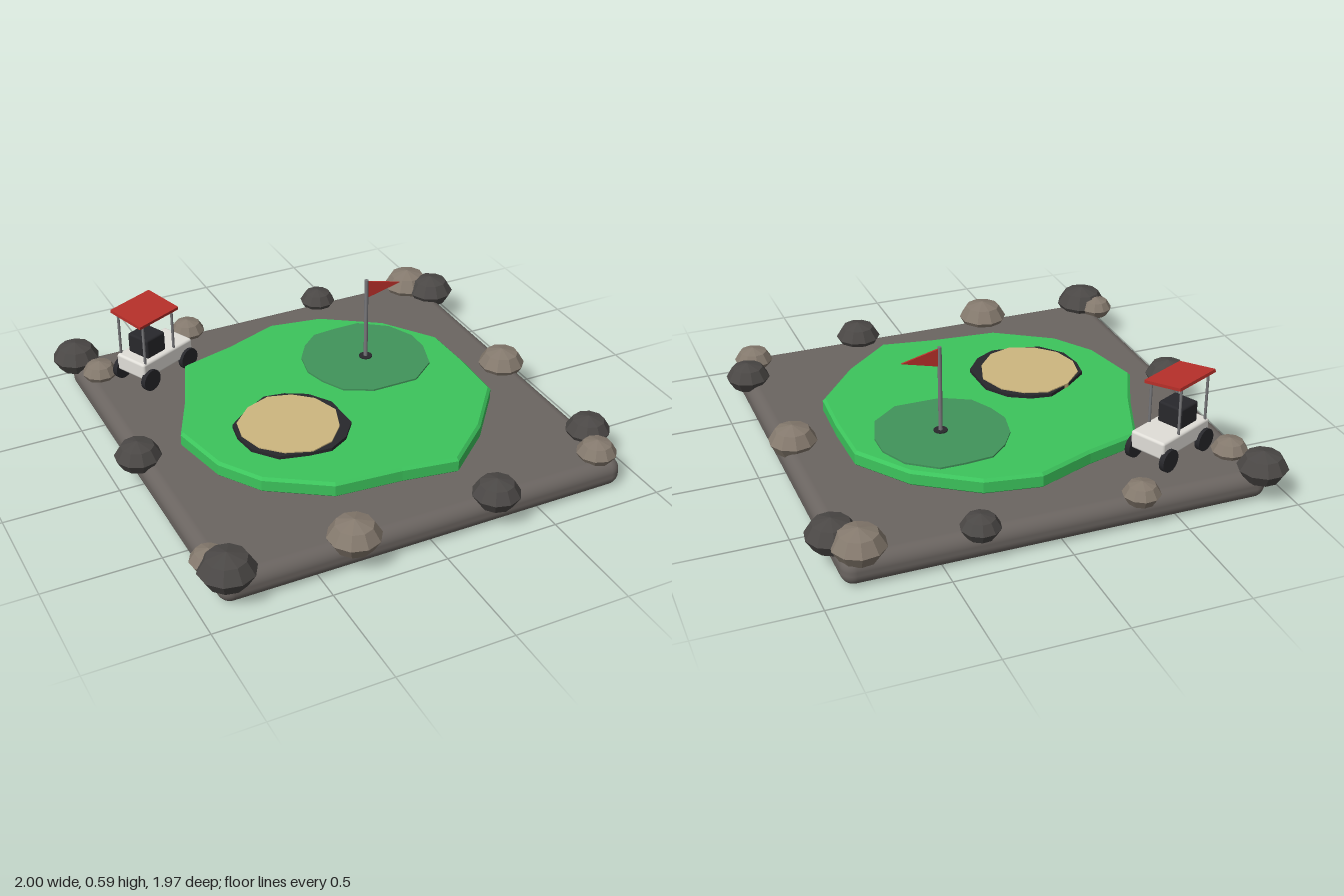
import * as THREE from 'three';
import { RoundedBoxGeometry } from 'three/addons/geometries/RoundedBoxGeometry.js';

const mat = (color, flat = false) => {
  const m = new THREE.MeshStandardMaterial({ color });
  m.flatShading = flat;
  return m;
};
const STONE = mat(0x6b6561), DARK_ROCK = mat(0x4b4846, true), LIGHT_ROCK = mat(0x857a6e, true);
const GRASS = mat(0x3cc45c, true), PUTTING = mat(0x41945a, true), SAND = mat(0xcdb67f, true);
const BLACK = mat(0x28282c), WHITE = mat(0xe0ded8), RED = mat(0xb8302a), STEEL = mat(0x77777a);

function add(parent, name, geometry, material, x = 0, y = 0, z = 0) {
  const mesh = new THREE.Mesh(geometry, material);
  mesh.name = name;
  mesh.position.set(x, y, z);
  parent.add(mesh);
  return mesh;
}

// Flat slab from an outline of [x, z] points, between heights y0 and y1
function slab(points, y0, y1, bevel = 0) {
  const shape = new THREE.Shape(points.map(([x, z]) => new THREE.Vector2(x, -z)));
  const g = new THREE.ExtrudeGeometry(shape, {
    depth: y1 - y0 - 2 * bevel, bevelEnabled: bevel > 0, bevelThickness: bevel,
    bevelSize: bevel, bevelOffset: -bevel, bevelSegments: 1,
  });
  return g.rotateX(-Math.PI / 2).translate(0, y0 + bevel, 0);
}

function createCart() {
  const cart = new THREE.Group();
  cart.name = 'cart';
  add(cart, 'cartBody', new RoundedBoxGeometry(0.31, 0.08, 0.17, 2, 0.012), WHITE, 0.045, 0.225, 0);
  add(cart, 'seat', new RoundedBoxGeometry(0.115, 0.095, 0.12, 2, 0.01), BLACK, 0, 0.308, 0);

  // Wheels and roof posts, mirrored left and right
  for (const side of [-1, 1]) {
    for (const x of [-0.075, 0.165]) {
      const wheel = new THREE.CylinderGeometry(0.05, 0.05, 0.024, 16).rotateX(Math.PI / 2);
      add(cart, 'wheel', wheel, BLACK, x, 0.178, side * 0.088);
    }
    for (const x of [-0.09, 0.09]) {
      const top = 0.472 - side * 0.012;
      add(cart, 'roofPost', new THREE.CylinderGeometry(0.006, 0.006, top - 0.26, 8), STEEL,
        x, (top + 0.26) / 2, side * 0.075);
    }
  }
  const roof = add(cart, 'roof', new THREE.BoxGeometry(0.238, 0.014, 0.182), RED, 0, 0.47, 0);
  roof.rotation.x = 0.14;

  cart.position.set(-0.635, 0, -0.607);
  cart.rotation.y = 0.44;
  return cart;
}

export function createModel() {
  const model = new THREE.Group();
  model.name = 'golfGreen';

  add(model, 'base', new RoundedBoxGeometry(1.81, 0.126, 1.81, 5, 0.055), STONE, -0.005, 0.063, -0.01);

  // Raised lawn
  const lawn = [[0, -0.69], [0.24, -0.65], [0.49, -0.48], [0.65, -0.25], [0.655, 0], [0.645, 0.24],
    [0.45, 0.48], [0.24, 0.66], [0, 0.62], [-0.29, 0.595], [-0.54, 0.43], [-0.655, 0.25],
    [-0.71, -0.02], [-0.6, -0.25], [-0.49, -0.53], [-0.25, -0.595]];
  add(model, 'lawn', slab(lawn, 0.12, 0.191, 0.012), GRASS);

  // Putting area
  const putting = [[0.26, -0.51], [0.37, -0.51], [0.49, -0.42], [0.545, -0.3], [0.545, -0.19],
    [0.5, -0.05], [0.38, 0.045], [0.17, 0.045], [0.05, -0.02], [0, -0.12], [-0.025, -0.22],
    [0, -0.34], [0.06, -0.43], [0.14, -0.5]];
  add(model, 'puttingArea', slab(putting, 0.185, 0.199), PUTTING);

  // Sand bunker with its dark rim
  const rim = [[-0.29, -0.105], [-0.2, -0.09], [-0.11, -0.04], [-0.045, 0.06], [-0.04, 0.24],
    [-0.11, 0.33], [-0.2, 0.38], [-0.3, 0.37], [-0.42, 0.34], [-0.5, 0.24], [-0.515, 0.13],
    [-0.5, 0.04], [-0.4, -0.04]];
  const sand = [[-0.28, -0.09], [-0.18, -0.06], [-0.1, 0.01], [-0.06, 0.13], [-0.1, 0.25],
    [-0.18, 0.34], [-0.28, 0.37], [-0.39, 0.33], [-0.47, 0.25], [-0.5, 0.14], [-0.48, 0.04], [-0.39, -0.05]];
  add(model, 'bunkerRim', slab(rim, 0.185, 0.206), BLACK);
  add(model, 'bunkerSand', slab(sand, 0.19, 0.211), SAND);

  // Hole, pole and flag
  add(model, 'hole', new THREE.CylinderGeometry(0.03, 0.03, 0.012, 16), BLACK, 0.267, 0.198, -0.225);
  add(model, 'flagPole', new THREE.CylinderGeometry(0.009, 0.009, 0.395, 12), STEEL, 0.267, 0.39, -0.225);
  const pennant = new THREE.Shape([[0, 0.5], [0.16, 0.54], [0, 0.58]].map(([x, y]) => new THREE.Vector2(x, y)));
  add(model, 'flag', new THREE.ExtrudeGeometry(pennant, { depth: 0.008, bevelEnabled: false }),
    RED, 0.272, 0, -0.229);

  // Boulders around the border: x, z, radius
  const boulders = (name, material, list) => list.forEach(([x, z, r], i) => {
    const rock = add(model, name, new THREE.SphereGeometry(r, 10, 4), material, x, 0.146, z);
    rock.scale.y = 0.68;
    rock.rotation.y = i * 0.7;
  });
  boulders('darkRock', DARK_ROCK, [[-0.885, -0.89, 0.107], [0.345, -0.89, 0.083], [0.89, -0.735, 0.108],
    [-0.905, -0.01, 0.1], [0.88, 0.65, 0.097], [0.29, 0.875, 0.102], [-0.865, 0.845, 0.118]]);
  boulders('lightRock', LIGHT_ROCK, [[-0.83, -0.715, 0.079], [-0.335, -0.895, 0.08], [0.815, -0.84, 0.112],
    [0.84, 0.015, 0.104], [0.815, 0.81, 0.086], [-0.345, 0.87, 0.112], [-0.905, 0.76, 0.077]]);

  model.add(createCart());
  return model;
}
